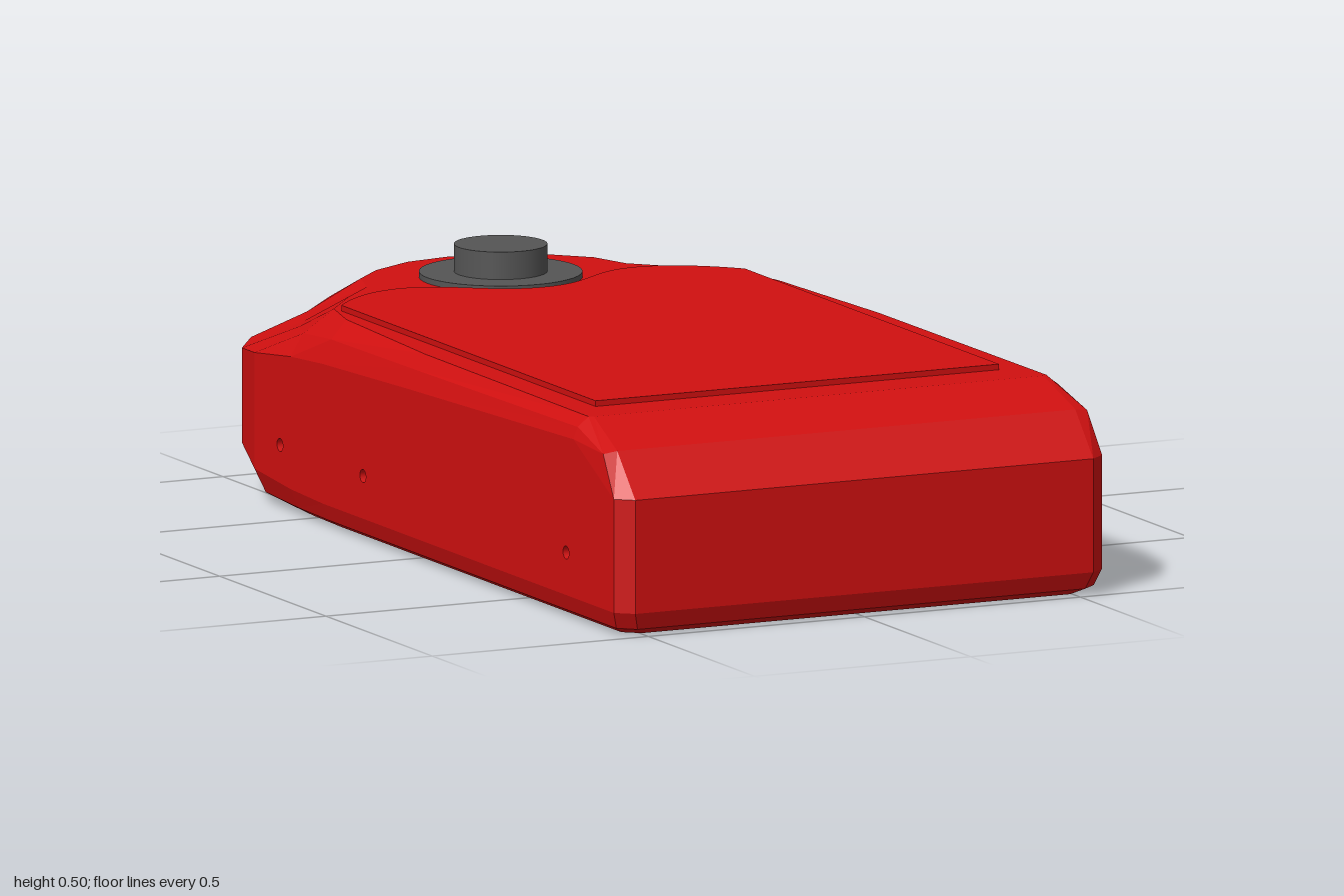
import * as THREE from 'three';
import { mergeGeometries } from 'three/addons/utils/BufferGeometryUtils.js';

const red = new THREE.MeshStandardMaterial({ color: 0xd01010, flatShading: true });
const tunnelRed = new THREE.MeshStandardMaterial({ color: 0xd01010, side: THREE.BackSide });
const grey = new THREE.MeshStandardMaterial({ color: 0x555555 });

const SIDE_X = 0.565, TOP_Y = 0.43, HOLE_R = 0.014, HOLE_Y = 0.14;
const HOLE_Z = [0.745, -0.21, -0.6];

// Half outline, front centre to back centre:
// shoulder x, z, y | mid slope x, z, y | plateau x, z | bottom bevel
const COLUMNS = [
  [0, 1, 0.29, 0, 0.915, 0.38, 0, 0.785, 0.04],
  [0.53, 1, 0.29, 0.53, 0.915, 0.38, 0.52, 0.785, 0.04],
  [0.565, 0.97, 0.29, 0.56, 0.91, 0.375, 0.53, 0.78, 0.04],
  [0.565, 0.78, 0.385, 0.555, 0.78, 0.41, 0.53, 0.77, 0.04],
  [0.565, 0, 0.36, 0.55, 0, 0.4, 0.525, 0, 0.04],
  [0.565, -0.4, 0.345, 0.545, -0.4, 0.395, 0.5, -0.42, 0.04],
  [0.565, -0.55, 0.335, 0.53, -0.56, 0.38, 0.47, -0.54, 0.045],
  [0.565, -0.72, 0.315, 0.48, -0.68, 0.37, 0.38, -0.65, 0.06],
  [0.53, -0.85, 0.3, 0.43, -0.77, 0.36, 0.3, -0.73, 0.09],
  [0.46, -0.95, 0.3, 0.37, -0.87, 0.36, 0.27, -0.82, 0.12],
  [0.35, -1, 0.29, 0.27, -0.96, 0.37, 0.2, -0.89, 0.14],
  [0.12, -1, 0.28, 0.11, -0.985, 0.36, 0.1, -0.945, 0.14],
  [0, -1, 0.28, 0, -0.985, 0.36, 0, -0.96, 0.14],
];
const SIDE_FROM = 2, SIDE_TO = 7; // columns spanned by the flat drilled side

// Points of one column, from the bottom up
function columnPoints([x, z, y, mx, mz, my, tx, tz, b]) {
  const inset = (d, h) => [x * (1 - 1.6 * d), h, z * (1 - d)];
  return [inset(b, 0), inset(b * 0.35, b * 0.35), [x, b + 0.01, z], [x, y, z], [mx, my, mz], [tx, TOP_Y, tz]];
}

function plainGeometry(geometry) {
  const g = geometry.index ? geometry.toNonIndexed() : geometry;
  g.deleteAttribute('uv');
  g.computeVertexNormals();
  return g;
}

// Closed shell lofted between the rings, leaving the flat sides open
function shellGeometry() {
  const half = COLUMNS.map(columnPoints);
  const mirrored = half.slice(1, -1).reverse().map(col => col.map(([x, y, z]) => [-x, y, z]));
  const ring = [...half, ...mirrored], n = ring.length, pos = [];
  for (let i = 0; i < n; i++) {
    const a = ring[i], b = ring[(i + 1) % n];
    const onSide = (i >= SIDE_FROM && i < SIDE_TO) || (i >= n - SIDE_TO && i < n - SIDE_FROM);
    for (let k = 0; k < a.length - 1; k++) {
      if (k === 2 && onSide) continue;
      pos.push(...a[k], ...b[k], ...b[k + 1], ...a[k], ...b[k + 1], ...a[k + 1]);
    }
  }
  const walls = new THREE.BufferGeometry();
  walls.setAttribute('position', new THREE.Float32BufferAttribute(pos, 3));
  const outline = (k, s) => new THREE.Shape(ring.map(c => new THREE.Vector2(c[k][0], s * c[k][2])));
  const top = new THREE.ShapeGeometry(outline(5, -1)).rotateX(-Math.PI / 2).translate(0, TOP_Y, 0);
  const bottom = new THREE.ShapeGeometry(outline(0, 1)).rotateX(Math.PI / 2);
  return mergeGeometries([walls, top, bottom].map(plainGeometry));
}

// Flat side wall with the screw holes; s = 1 for left, -1 for right
function sideGeometry(s) {
  const cols = COLUMNS.slice(SIDE_FROM, SIDE_TO + 1).map(columnPoints);
  const edge = [...cols.map(c => c[2]), ...cols.map(c => c[3]).reverse()];
  const shape = new THREE.Shape(edge.map(p => new THREE.Vector2(-s * p[2], p[1])));
  for (const z of HOLE_Z) {
    shape.holes.push(new THREE.Path().absarc(-s * z, HOLE_Y, HOLE_R, 0, Math.PI * 2, true));
  }
  return new THREE.ShapeGeometry(shape, 8).rotateY(s * Math.PI / 2).translate(s * SIDE_X, 0, 0);
}

// Raised cover plate with a wavy rear edge around the knob
function coverGeometry() {
  const s = new THREE.Shape();
  s.moveTo(-0.467, -0.685);
  s.lineTo(0.467, -0.685);
  s.lineTo(0.467, 0.51);
  s.bezierCurveTo(0.41, 0.58, 0.34, 0.628, 0.27, 0.628);
  s.bezierCurveTo(0.16, 0.628, 0.12, 0.51, 0, 0.51);
  s.bezierCurveTo(-0.12, 0.51, -0.16, 0.628, -0.27, 0.628);
  s.bezierCurveTo(-0.34, 0.628, -0.41, 0.58, -0.467, 0.51);
  s.closePath();
  return new THREE.ExtrudeGeometry(s, { depth: 0.02, bevelEnabled: false, curveSegments: 16 })
    .rotateX(-Math.PI / 2).translate(0, 0.422, 0);
}

export function createModel() {
  const model = new THREE.Group();
  const add = (name, geometry, material, parent = model) => {
    const mesh = new THREE.Mesh(geometry, material);
    mesh.name = name;
    parent.add(mesh);
    return mesh;
  };

  // Housing
  const housing = new THREE.Group();
  housing.name = 'housing';
  model.add(housing);
  add('shell', shellGeometry(), red, housing);
  add('leftSide', sideGeometry(1), red, housing);
  add('rightSide', sideGeometry(-1), red, housing);
  for (const z of HOLE_Z) {
    const tunnel = new THREE.CylinderGeometry(HOLE_R, HOLE_R, SIDE_X * 2, 16, 1, true).rotateZ(Math.PI / 2);
    add('screwHole', tunnel, tunnelRed, housing).position.set(0, HOLE_Y, z);
  }
  add('coverPlate', coverGeometry(), red);

  // Knob on its flange
  const knob = new THREE.Group();
  knob.name = 'knob';
  knob.position.z = -0.71;
  model.add(knob);
  add('knobFlange', new THREE.CylinderGeometry(0.17, 0.17, 0.02, 48), grey, knob).position.y = 0.432;
  add('knobCap', new THREE.CylinderGeometry(0.097, 0.097, 0.07, 48), grey, knob).position.y = 0.465;
  return model;
}
